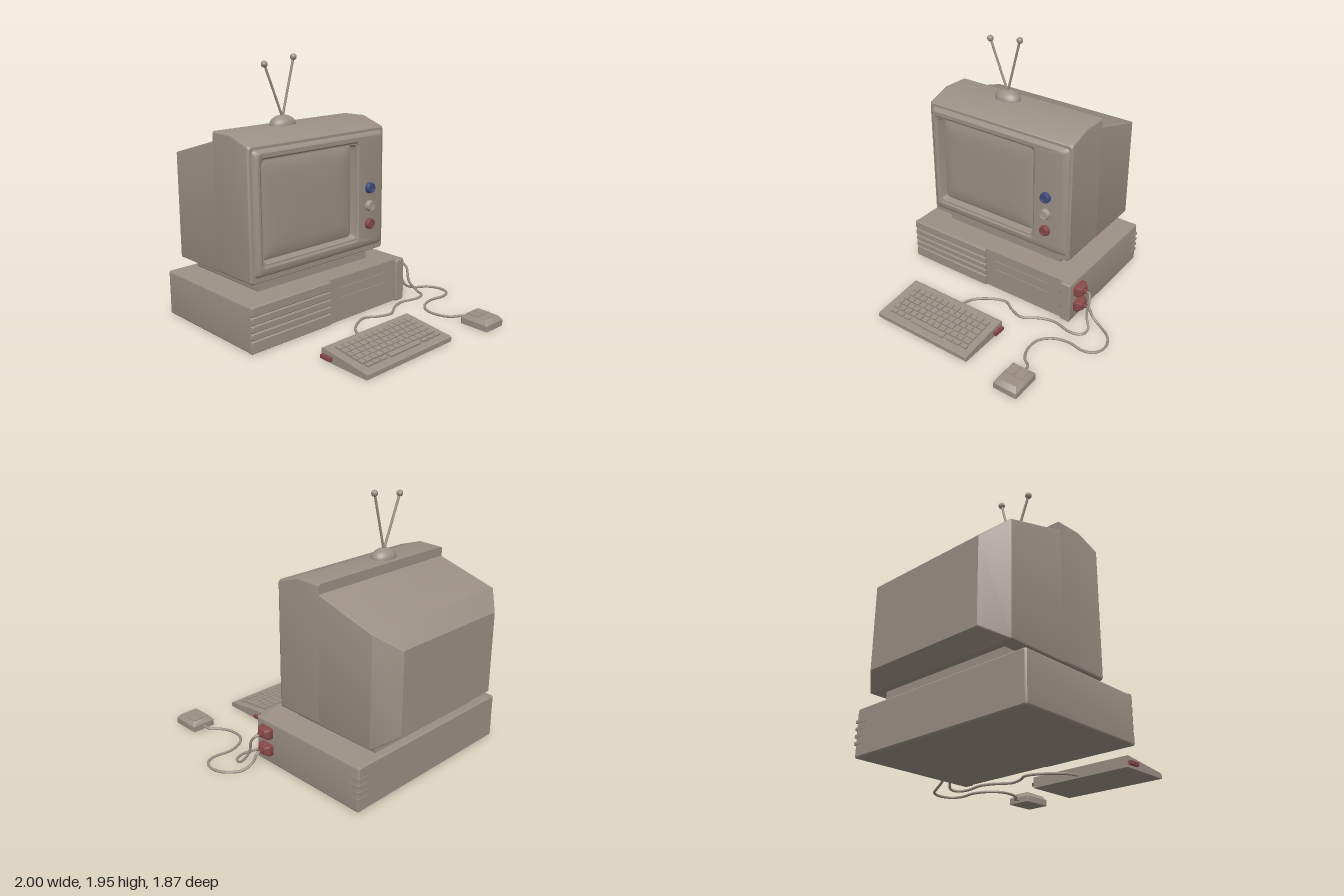
import * as THREE from 'three';
import { toCreasedNormals } from 'three/addons/utils/BufferGeometryUtils.js';

const mat = (name, color) => Object.assign(new THREE.MeshStandardMaterial({ color }), { name });

// Closed skin through rounded rectangles [x, y0, y1, z0, z1, radius], from back to front
function loft(sections) {
  const seg = 4, pos = [], idx = [], n = (seg + 1) * 4;
  for (const [x, y0, y1, z0, z1, r = 0.012] of sections) {
    const corners = [[y1 - r, z1 - r], [y0 + r, z1 - r], [y0 + r, z0 + r], [y1 - r, z0 + r]];
    corners.forEach(([y, z], q) => {
      for (let i = 0; i <= seg; i++) {
        const a = (q + i / seg) * Math.PI / 2;
        pos.push(x, y + r * Math.cos(a), z + r * Math.sin(a));
      }
    });
  }
  for (let s = 0; s < sections.length - 1; s++) {
    for (let j = 0; j < n; j++) {
      const a = s * n + j, b = s * n + (j + 1) % n;
      idx.push(a, b, b + n, a, b + n, a + n);
    }
  }
  const last = (sections.length - 1) * n;
  for (let j = 1; j < n - 1; j++) {
    idx.push(0, j + 1, j);
    idx.push(last, last + j, last + j + 1);
  }
  const g = new THREE.BufferGeometry();
  g.setAttribute('position', new THREE.Float32BufferAttribute(pos, 3));
  g.setIndex(idx);
  return toCreasedNormals(g, 0.5);
}

export function createModel() {
  const casing = mat('beige casing', 0x9c9085);
  const red = mat('dull red', 0x864747);
  const blue = mat('dull blue', 0x3f4c7a);
  const pale = mat('pale grey', 0xa39b92);
  const model = new THREE.Group();

  const add = (name, geo, material = casing, parent = model) => {
    const m = new THREE.Mesh(geo, material);
    m.name = name;
    parent.add(m);
    return m;
  };
  // Box given by its limits
  const box = (name, x0, x1, y0, y1, z0, z1, material, parent) => {
    const m = add(name, new THREE.BoxGeometry(x1 - x0, y1 - y0, z1 - z0), material, parent);
    m.position.set((x0 + x1) / 2, (y0 + y1) / 2, (z0 + z1) / 2);
    return m;
  };

  // Desktop case with a recessed drive panel
  add('computerCase', loft([
    [-0.88, 0.01, 0.33, -0.555, 0.925, 0.01], [-0.87, 0, 0.34, -0.567, 0.935, 0.015],
    [0.115, 0, 0.34, -0.567, 0.935, 0.015]]));
  add('frontColumn', loft([
    [0.1, 0, 0.34, -0.567, -0.48], [0.13, 0, 0.34, -0.567, -0.48], [0.14, 0.01, 0.33, -0.56, -0.487]]));
  const cuts = [0, 0.095, 0.15, 0.205, 0.265, 0.34];
  for (let i = 0; i < 5; i++) {
    const a = cuts[i], b = cuts[i + 1];
    add('frontSlat', loft([
      [0.1, a, b, 0.215, 0.935, 0.005], [0.125, a, b, 0.215, 0.935, 0.005],
      [0.142, a + 0.012, b - 0.006, 0.217, 0.928, 0.005]]));
  }
  for (const y of [0.255, 0.175]) box('driveSlot', 0.11, 0.122, y - 0.007, y + 0.007, -0.375, 0.13);
  // Vent ribs wrapping the rear corner
  for (const y of [0.1, 0.15, 0.2, 0.25]) box('cornerVent', -0.884, -0.81, y - 0.01, y + 0.01, -0.572, -0.48);

  // Monitor stand
  add('monitorStand', loft([[-0.82, 0.33, 0.44, -0.35, 0.72, 0.02], [-0.07, 0.33, 0.44, -0.35, 0.72, 0.02]]));

  // Monitor: tapered rear, hood, bezel, recessed opening and domed screen
  add('monitor', loft([
    [-1.0, 0.51, 1.12, -0.3, 0.67, 0.01],
    [-0.87, 0.425, 1.235, -0.457, 0.822, 0.01],
    [-0.4, 0.425, 1.375, -0.457, 0.822, 0.01],
    [-0.4, 0.425, 1.445, -0.457, 0.822, 0.02],
    [-0.2, 0.425, 1.45, -0.46, 0.825, 0.02],
    [-0.015, 0.425, 1.39, -0.46, 0.825, 0.02],
    [0, 0.435, 1.378, -0.45, 0.815, 0.02],
    [0, 0.47, 1.36, -0.44, 0.797, 0.03],
    [0.02, 0.482, 1.35, -0.425, 0.787, 0.03],
    [0.032, 0.505, 1.335, -0.405, 0.77, 0.03],
    [0.032, 0.535, 1.305, -0.17, 0.755, 0.03],
    [0.022, 0.55, 1.293, -0.157, 0.74, 0.03],
    [0.022, 0.56, 1.285, -0.15, 0.732, 0.03],
    [-0.03, 0.572, 1.275, -0.138, 0.72, 0.03]]));
  add('screen', loft([
    [-0.035, 0.572, 1.275, -0.138, 0.72, 0.03],
    [-0.028, 0.575, 1.272, -0.135, 0.717, 0.03],
    [-0.014, 0.61, 1.235, -0.1, 0.68, 0.05],
    [-0.008, 0.68, 1.165, -0.03, 0.61, 0.06],
    [-0.005, 0.8, 1.05, 0.12, 0.46, 0.06]]));

  // Control knobs
  [[0.94, blue], [0.8, pale], [0.66, red]].forEach(([y, m]) => {
    const profile = [[0, 0], [0.041, 0], [0.041, 0.022], [0.036, 0.036], [0.027, 0.036], [0.025, 0.031], [0, 0.031]];
    const g = new THREE.LatheGeometry(profile.map(p => new THREE.Vector2(...p)), 24);
    const knob = add('knob', toCreasedNormals(g.rotateZ(-Math.PI / 2), 0.5), m);
    knob.position.set(0.03, y, -0.275);
  });

  // Rabbit-ear aerial
  const dome = add('aerialBase', new THREE.SphereGeometry(1, 28, 12, 0, Math.PI * 2, 0, Math.PI / 2));
  dome.scale.set(0.08, 0.072, 0.107);
  dome.position.set(-0.285, 1.445, 0.295);
  for (const [y, z] of [[1.885, 0.45], [1.922, 0.185]]) {
    const foot = new THREE.Vector3(-0.285, 1.5, 0.295), tip = new THREE.Vector3(-0.285, y, z);
    add('aerialRod', new THREE.TubeGeometry(new THREE.LineCurve3(foot, tip), 1, 0.009, 10));
    add('aerialTip', new THREE.SphereGeometry(0.024, 16, 12)).position.copy(tip);
  }

  // Keyboard: wedge body, red feet and tilted keys
  const wedge = new THREE.Shape([[0.49, 0], [0.91, 0], [0.91, 0.033], [0.9, 0.038], [0.5, 0.084], [0.49, 0.08]]
    .map(p => new THREE.Vector2(...p)));
  const body = new THREE.ExtrudeGeometry(wedge, { depth: 0.84, bevelEnabled: false });
  add('keyboardBody', body.translate(0, 0, -0.21));
  box('keyboardFoot', 0.5, 0.595, 0.02, 0.045, -0.235, -0.2, red);
  box('keyboardFoot', 0.5, 0.595, 0.02, 0.045, 0.62, 0.655, red);
  const keys = new THREE.Group();
  keys.name = 'keys';
  keys.position.set(0.7, 0.061, 0.21);
  keys.rotation.z = -Math.atan(0.046 / 0.4);
  model.add(keys);
  const key = (x, w, z0, z1) => box('key', x - w / 2, x + w / 2, -0.005, 0.014, z0, z1, casing, keys);
  for (let r = 0; r < 6; r++) {
    const x = -0.128 + r * 0.053, shift = [0, 0, 0.014, 0.026, 0.012, 0][r];
    if (r === 5) {
      // Bottom row with the space bar
      key(x, 0.04, -0.16, 0.14);
      for (const s of [-1, 1]) for (let i = 0; i < 3; i++) {
        const z = s * (0.205 + i * 0.065) - 0.01;
        key(x, 0.03, z - 0.027, z + 0.027);
      }
    } else {
      for (let c = 0; c < 13; c++) {
        const z = -0.363 + c * 0.056;
        key(x, 0.045, z + (c ? shift : 0), z + 0.047 + (c < 12 ? shift : 0));
      }
    }
  }

  // Mouse with two buttons
  const mouse = loft([
    [0, -0.995, -0.76, -0.7, -0.51, 0.005], [0.045, -0.995, -0.76, -0.7, -0.51, 0.005],
    [0.076, -0.965, -0.787, -0.678, -0.532, 0.005]]).rotateZ(Math.PI / 2);
  add('mouseBody', mouse);
  for (const z of [-0.673, -0.602]) box('mouseButton', 0.79, 0.89, 0.07, 0.081, z, z + 0.065);

  // Plugs on the side of the case
  for (const y of [0.255, 0.12]) {
    const plug = add('plug', loft([
      [0, -0.042, 0.042, -0.06, 0.06], [0.035, -0.042, 0.042, -0.06, 0.06],
      [0.062, -0.028, 0.028, -0.036, 0.036], [0.066, -0.014, 0.014, -0.018, 0.018],
      [0.085, -0.014, 0.014, -0.018, 0.018]]).rotateY(Math.PI / 2), red);
    plug.position.set(0.024, y, -0.565);
  }

  // Cables
  const cable = (name, points) => add(name, new THREE.TubeGeometry(
    new THREE.CatmullRomCurve3(points.map(p => new THREE.Vector3(...p))), 120, 0.01, 8));
  cable('keyboardCable', [
    [0.024, 0.255, -0.63], [0.03, 0.25, -0.67], [0.06, 0.21, -0.69], [0.09, 0.1, -0.69], [0.14, 0.02, -0.735],
    [0.2, 0.01, -0.72], [0.23, 0.01, -0.64], [0.2, 0.01, -0.48], [0.23, 0.01, -0.37], [0.3, 0.01, -0.25],
    [0.27, 0.01, -0.14], [0.22, 0.01, -0.05], [0.26, 0.01, 0.07], [0.36, 0.012, 0.18], [0.5, 0.02, 0.21]]);
  cable('mouseCable', [
    [0.024, 0.12, -0.63], [0.024, 0.11, -0.67], [0.03, 0.05, -0.71], [0.05, 0.012, -0.79], [0.12, 0.01, -0.89],
    [0.22, 0.01, -0.93], [0.31, 0.01, -0.9], [0.345, 0.01, -0.82], [0.33, 0.01, -0.68], [0.37, 0.01, -0.56],
    [0.45, 0.01, -0.495], [0.56, 0.01, -0.49], [0.65, 0.01, -0.53], [0.7, 0.015, -0.59], [0.77, 0.025, -0.61]]);

  return model;
}
